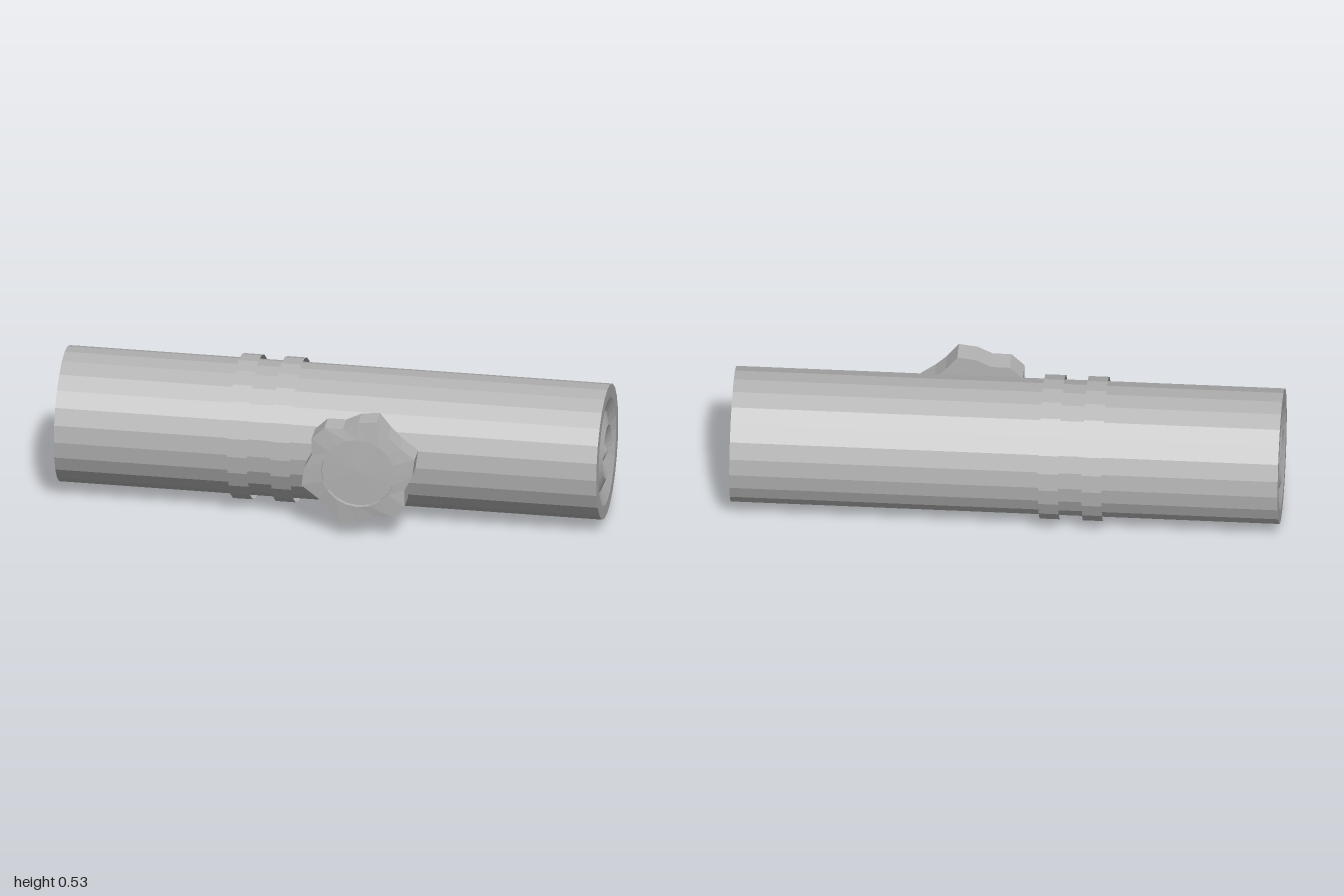
import * as THREE from 'three';

const CY = 0.266, CZ = -0.032; // tube axis

// Revolve a list of [radius, height] pairs.
const lathe = (profile, sides) =>
  new THREE.LatheGeometry(profile.map(([r, h]) => new THREE.Vector2(r, h)), sides);

export function createModel() {
  const group = new THREE.Group();
  const grey = new THREE.MeshStandardMaterial({ color: 0xb4b4b4, flatShading: true, side: THREE.DoubleSide });
  grey.name = 'grey metal';

  const add = (name, geometry, x, y, z) => {
    const mesh = new THREE.Mesh(geometry, grey);
    mesh.name = name;
    mesh.position.set(x, y, z);
    group.add(mesh);
  };

  // Tube with concentric ridges in both ends and a pinhole along the axis
  const end = [[0.005, 1], [0.05, 0.98], [0.1, 1], [0.15, 0.98], [0.2, 1], [0.249, 1]];
  const profile = [...end.map(([r, h]) => [r, -h]), ...end.slice().reverse()];
  add('tube', lathe(profile, 24).rotateZ(Math.PI / 2), 0, CY, CZ);

  // Two thin open bands around the tube
  for (const [name, x] of [['outerBand', -0.322], ['innerBand', -0.164]]) {
    const band = new THREE.CylinderGeometry(0.265, 0.265, 0.073, 24, 1, true);
    add(name, band.rotateZ(Math.PI / 2), x, CY, CZ);
  }

  // Knob with a wavy six-lobed rim and a shallow round recess
  const knob = lathe([[0, 0.205], [0.2, 0.205], [0.2, 0.287], [0.135, 0.295], [0.135, 0.28], [0, 0.284]], 20)
    .rotateX(Math.PI / 2);
  const p = knob.attributes.position;
  for (let i = 0; i < p.count; i++) {
    const x = p.getX(i), y = p.getY(i);
    if (Math.hypot(x, y) < 0.19) continue;
    const k = 1 + 0.1 * Math.sin(6 * Math.atan2(y, x));
    p.setXY(i, x * k, y * k);
  }
  add('knob', knob, 0.133, CY, 0);

  return group;
}
